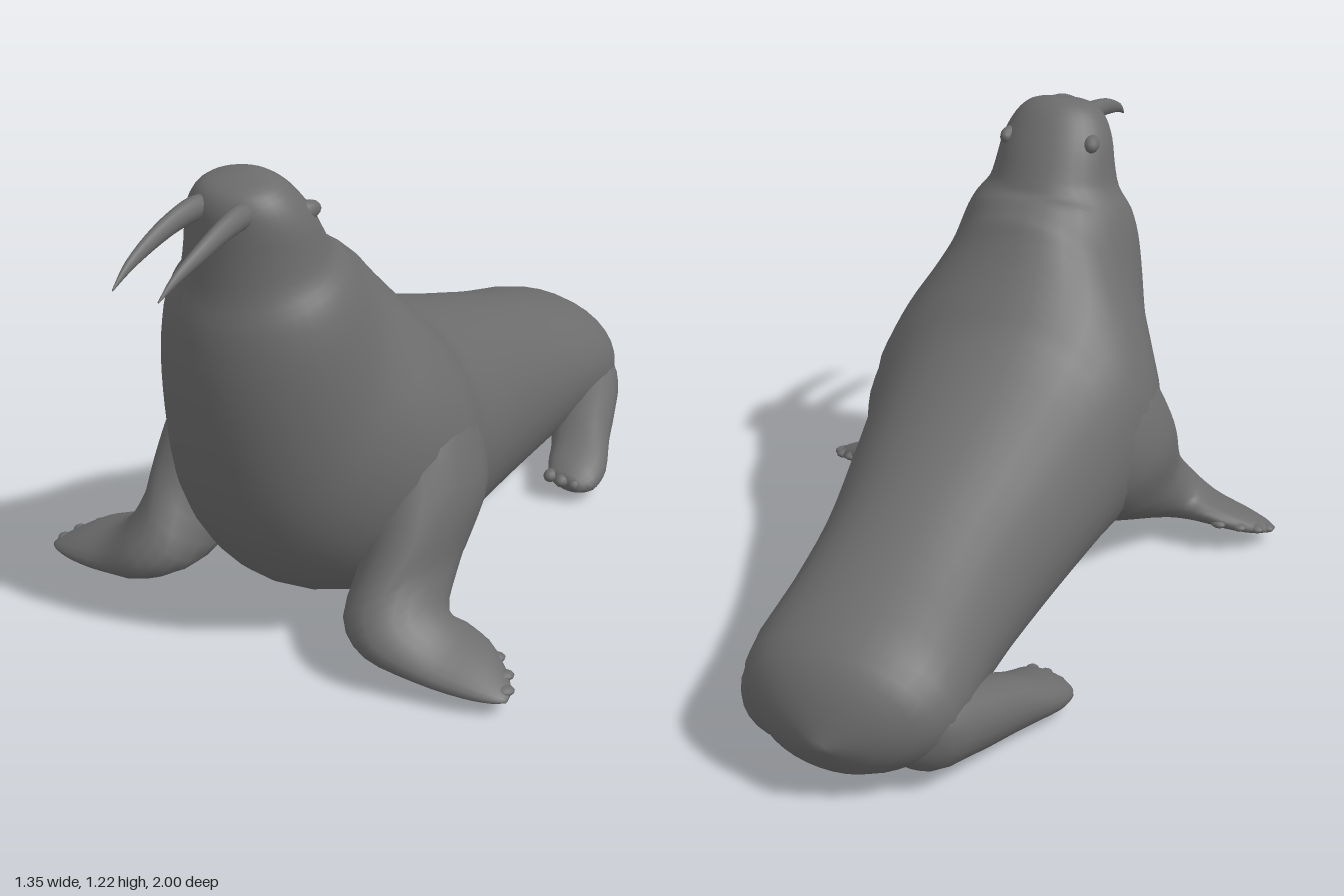
import * as THREE from 'three';

const material = new THREE.MeshStandardMaterial({ color: 0x6c6c6c });
const V = (a) => new THREE.Vector3(...a);

// Smooth skin over elliptical rings [centre, halfAxisU, halfAxisV], closed at both ends.
// side = -1 mirrors the rings across x.
function loft(name, rings, side = 1, n = 20, sub = 3) {
  const curves = [0, 1, 2].map((k) => new THREE.CatmullRomCurve3(
    rings.map((r) => V(r[k]).multiply(new THREE.Vector3(side, 1, 1))), false, 'catmullrom', 0.5));
  const rows = (rings.length - 1) * sub + 1;
  const pos = [], index = [];
  let facing = 0, last = null;
  for (let i = 0; i < rows; i++) {
    const [c, u, v] = curves.map((k) => k.getPoint(i / (rows - 1)));
    for (let j = 0; j < n; j++) {
      const a = (j / n) * Math.PI * 2;
      const p = c.clone().addScaledVector(u, Math.cos(a)).addScaledVector(v, Math.sin(a));
      pos.push(p.x, p.y, p.z);
    }
    if (last) facing += u.clone().cross(v).dot(c.clone().sub(last));
    last = c;
  }
  const tri = (a, b, c) => (facing > 0 ? index.push(a, b, c) : index.push(a, c, b));
  for (let i = 0; i < rows - 1; i++) {
    for (let j = 0; j < n; j++) {
      const a = i * n + j, b = i * n + (j + 1) % n;
      tri(a, b, a + n);
      tri(b, b + n, a + n);
    }
  }
  // End caps
  const first = curves[0].getPoint(0), end = curves[0].getPoint(1);
  pos.push(first.x, first.y, first.z, end.x, end.y, end.z);
  for (let j = 0; j < n; j++) {
    const k = (j + 1) % n, e = (rows - 1) * n;
    tri(rows * n, k, j);
    tri(rows * n + 1, e + j, e + k);
  }
  const g = new THREE.BufferGeometry();
  g.setAttribute('position', new THREE.Float32BufferAttribute(pos, 3));
  g.setIndex(index);
  g.computeVertexNormals();
  const mesh = new THREE.Mesh(g, material);
  mesh.name = name;
  return mesh;
}

function blob(name, centre, size, side, turn = 0) {
  const mesh = new THREE.Mesh(new THREE.SphereGeometry(1, 12, 8), material);
  mesh.position.set(centre[0] * side, centre[1], centre[2]);
  mesh.scale.set(...size);
  mesh.rotation.y = turn * side;
  mesh.name = name;
  return mesh;
}

// Body stations, tail to crown: back z, y, then belly z, y, then half width
const bodyStations = [
  [-1.0, 0.185, -1.0, 0.16, 0.02],
  [-0.955, 0.3, -0.93, 0.06, 0.17],
  [-0.86, 0.385, -0.81, 0.025, 0.265],
  [-0.6, 0.47, -0.6, 0.01, 0.268],
  [-0.4, 0.54, -0.35, 0, 0.28],
  [-0.2, 0.61, -0.1, 0.015, 0.315],
  [0.05, 0.71, 0.15, 0.025, 0.36],
  [0.15, 0.79, 0.36, 0.035, 0.4],
  [0.22, 0.86, 0.53, 0.12, 0.378],
  [0.27, 0.92, 0.65, 0.26, 0.325],
  [0.3, 0.96, 0.72, 0.42, 0.282],
  [0.33, 0.98, 0.755, 0.6, 0.258],
  [0.36, 1.0, 0.765, 0.75, 0.238],
  [0.385, 1.01, 0.755, 0.87, 0.213],
  [0.4, 1.03, 0.735, 0.95, 0.178],
  [0.42, 1.06, 0.725, 1.03, 0.163],
  [0.46, 1.12, 0.72, 1.1, 0.15],
  [0.51, 1.18, 0.715, 1.15, 0.124],
  [0.55, 1.21, 0.69, 1.19, 0.086],
  [0.585, 1.22, 0.63, 1.212, 0.025],
];
const bodyRings = bodyStations.map(([tz, ty, bz, by, w]) => [
  [0, (ty + by) / 2, (tz + bz) / 2], [w, 0, 0], [0, (ty - by) / 2, (tz - bz) / 2]]);

// Shoulder, bent wrist, paddle reaching outward
const frontFlipperRings = [
  [[0.22, 0.62, 0.23], [0, 0.02, 0.06], [0.06, 0.03, 0]],
  [[0.25, 0.52, 0.25], [0, 0.05, 0.16], [0.118, 0.04, 0]],
  [[0.285, 0.36, 0.29], [0, 0.06, 0.19], [0.142, 0.05, 0]],
  [[0.31, 0.25, 0.37], [0, 0.06, 0.17], [0.118, 0.05, 0]],
  [[0.33, 0.165, 0.48], [-0.04, 0.02, 0.15], [0.09, 0.07, 0]],
  [[0.39, 0.115, 0.55], [-0.04, 0, 0.118], [0.045, 0.06, 0]],
  [[0.48, 0.09, 0.543], [-0.01, -0.02, 0.104], [0.015, 0.042, 0]],
  [[0.57, 0.07, 0.537], [0.01, -0.02, 0.086], [0.01, 0.03, 0]],
  [[0.635, 0.052, 0.545], [0.01, -0.01, 0.054], [0.005, 0.017, 0]],
  [[0.67, 0.042, 0.557], [0.003, -0.003, 0.02], [0.001, 0.006, 0]],
];

// Hip swelling, then a flat paddle folded forward
const hindFlipperRings = [
  [[0.15, 0.16, -0.9], [0.04, 0, 0], [0, 0.05, 0]],
  [[0.18, 0.155, -0.85], [0.09, 0, 0], [0, 0.1, 0]],
  [[0.22, 0.13, -0.74], [0.095, -0.015, 0], [0.02, 0.098, 0]],
  [[0.27, 0.105, -0.61], [0.09, -0.02, 0], [0.02, 0.08, 0]],
  [[0.32, 0.08, -0.5], [0.085, -0.02, 0], [0.015, 0.052, 0]],
  [[0.337, 0.064, -0.425], [0.073, -0.018, 0], [0.008, 0.036, 0]],
  [[0.335, 0.055, -0.385], [0.045, -0.01, 0], [0.004, 0.018, 0]],
];

// Tusk: x, y, z, radius
const tuskRings = [
  [0.052, 1.135, 0.62, 0.03], [0.058, 1.15, 0.7, 0.029], [0.063, 1.142, 0.78, 0.024],
  [0.065, 1.122, 0.86, 0.019], [0.063, 1.095, 0.94, 0.012], [0.06, 1.062, 1.0, 0.002],
].map(([x, y, z, r]) => [[x, y, z], [r * 0.85, 0, 0], [0, r, r * 0.3]]);

// Scalloped toe centres along the paddle ends
const frontToes = [[0.535, 0.088, 0.459], [0.588, 0.077, 0.48], [0.63, 0.062, 0.514], [0.652, 0.05, 0.552]];
const hindToes = [[0.29, 0.065, -0.392], [0.325, 0.06, -0.39], [0.36, 0.053, -0.402], [0.388, 0.05, -0.425]];

export function createModel() {
  const model = new THREE.Group();
  model.name = 'walrus';
  model.add(loft('body', bodyRings, 1, 32));

  for (const side of [1, -1]) {
    const label = side > 0 ? 'left' : 'right';
    model.add(
      loft(label + 'FrontFlipper', frontFlipperRings, side),
      loft(label + 'HindFlipper', hindFlipperRings, side),
      loft(label + 'Tusk', tuskRings, side, 12),
      blob(label + 'Brow', [0.115, 1.12, 0.53], [0.022, 0.024, 0.04], side, -0.2),
    );
    for (const toe of frontToes) {
      model.add(blob(label + 'FrontToe', toe, [0.027, 0.012, 0.02], side, 0.7));
    }
    for (const toe of hindToes) {
      model.add(blob(label + 'HindToe', toe, [0.02, 0.018, 0.026], side));
    }
  }
  return model;
}
